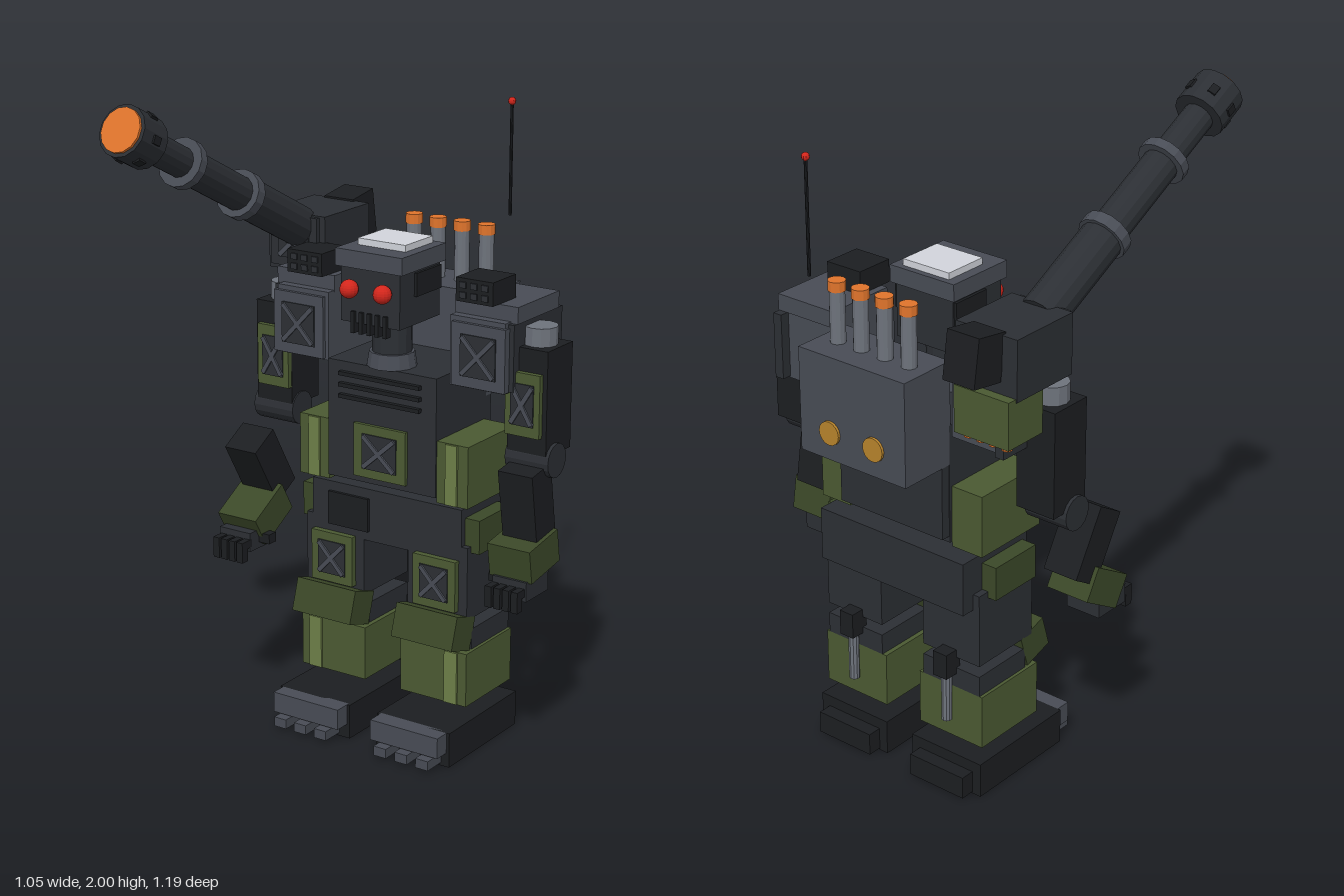
import * as THREE from 'three';

const mat = (color) => new THREE.MeshStandardMaterial({ color, flatShading: true });
const M = {
  black: mat(0x1c1e21), dark: mat(0x2c2f34), gray: mat(0x484c55), steel: mat(0x6e737c),
  olive: mat(0x4b5a32), moss: mat(0x3b4828), lime: mat(0x6d7f48), orange: mat(0xe0742c),
  amber: mat(0xb8842c), red: mat(0xd4261c), white: mat(0xd2d5dc),
};

function add(parent, name, geo, m, x, y, z) {
  const mesh = new THREE.Mesh(geo, m);
  mesh.name = name;
  mesh.position.set(x, y, z);
  parent.add(mesh);
  return mesh;
}

// Box given by its limits on each axis
function box(parent, name, m, x0, x1, y0, y1, z0, z1, rx = 0) {
  const geo = new THREE.BoxGeometry(Math.abs(x1 - x0), y1 - y0, z1 - z0);
  const mesh = add(parent, name, geo, m, (x0 + x1) / 2, (y0 + y1) / 2, (z0 + z1) / 2);
  mesh.rotation.x = rx;
  return mesh;
}

function cyl(parent, name, m, r0, r1, h, x, y, z, sides = 12) {
  return add(parent, name, new THREE.CylinderGeometry(r1, r0, h, sides), m, x, y, z);
}

// Front-facing plate with a crossed brace
function bracePlate(parent, name, frame, x, y, z, w, h) {
  const g = new THREE.Group();
  g.name = name;
  g.position.set(x, y, z);
  parent.add(g);
  const iw = w * 0.66, ih = h * 0.66;
  box(g, 'plate', frame, -w / 2, w / 2, -h / 2, h / 2, -0.012, 0.012);
  box(g, 'inset', M.dark, -iw / 2, iw / 2, -ih / 2, ih / 2, 0.008, 0.016);
  for (const s of [-1, 1]) {
    const bar = box(g, 'brace', M.gray, -0.007, 0.007, -Math.hypot(iw, ih) * 0.45, Math.hypot(iw, ih) * 0.45, 0.012, 0.022);
    bar.rotation.z = s * Math.atan2(iw, ih);
  }
}

function buildLeg(root, s) {
  const g = new THREE.Group();
  g.name = s > 0 ? 'leftLeg' : 'rightLeg';
  root.add(g);
  const X = (a) => s * a;
  // Foot with toe cap, toes and heel
  box(g, 'foot', M.black, X(0.05), X(0.31), 0, 0.11, -0.38, 0);
  box(g, 'toeCap', M.gray, X(0.06), X(0.30), 0.045, 0.11, -0.01, 0.05);
  box(g, 'heel', M.black, X(0.08), X(0.28), 0.005, 0.075, -0.425, -0.37);
  for (const x of [0.11, 0.185, 0.26]) box(g, 'toe', M.gray, X(x - 0.022), X(x + 0.022), 0.01, 0.04, -0.01, 0.073);
  // Shin and knee
  box(g, 'shin', M.olive, X(0.065), X(0.30), 0.155, 0.325, -0.36, -0.105);
  box(g, 'shinStripe', M.lime, X(0.225), X(0.27), 0.157, 0.323, -0.11, -0.098);
  box(g, 'kneeBlock', M.dark, X(0.08), X(0.29), 0.325, 0.39, -0.36, -0.15);
  box(g, 'kneePad', M.moss, X(0.075), X(0.29), 0.338, 0.442, -0.155, -0.05, -0.3);
  // Thigh with braced plate
  box(g, 'thigh', M.dark, X(0.08), X(0.29), 0.425, 0.655, -0.36, -0.12);
  bracePlate(g, 'thighPlate', M.olive, X(0.185), 0.53, -0.112, 0.15, 0.16);
  // Calf piston
  box(g, 'pistonHousing', M.black, X(0.155), X(0.205), 0.37, 0.45, -0.405, -0.345);
  cyl(g, 'pistonRod', M.steel, 0.016, 0.016, 0.16, X(0.18), 0.295, -0.375, 10);
}

function buildArm(root, s, tilt, forearm, cuff, hand) {
  const g = new THREE.Group();
  g.name = s > 0 ? 'leftArm' : 'rightArm';
  root.add(g);
  const X = (a) => s * a;
  cyl(g, 'shoulderCap', M.steel, 0.05, 0.05, 0.06, X(0.45), 1.305, -0.245);
  box(g, 'upperArm', M.black, X(0.385), X(0.515), 0.96, 1.28, -0.315, -0.175);
  bracePlate(g, 'armPlate', M.olive, X(0.443), 1.115, -0.17, 0.115, 0.19);
  cyl(g, 'elbow', M.dark, 0.052, 0.052, 0.145, X(0.453), 0.945, -0.222, 16).rotation.z = Math.PI / 2;
  // Forearm and cuff lean together; [z, y] centres
  box(g, 'forearm', M.black, X(0.395), X(0.51), forearm[1] - 0.11, forearm[1] + 0.11, forearm[0] - 0.053, forearm[0] + 0.053, tilt);
  box(g, 'cuff', M.moss, X(0.38), X(0.523), cuff[1] - 0.052, cuff[1] + 0.052, cuff[0] - 0.08, cuff[0] + 0.08, tilt);
  // Hand, [front z, y]
  const [z, y] = hand;
  box(g, 'palm', M.dark, X(0.395), X(0.51), y - 0.02, y + 0.04, z - 0.125, z);
  box(g, 'thumb', M.black, X(0.355), X(0.405), y, y + 0.03, z - 0.08, z - 0.045);
  for (let i = 0; i < 4; i++) {
    const x = 0.405 + i * 0.0295;
    box(g, 'finger', M.black, X(x - 0.011), X(x + 0.011), y - 0.005, y + 0.02, z - 0.01, z + 0.04);
    box(g, 'fingertip', M.black, X(x - 0.011), X(x + 0.011), y - 0.045, y, z + 0.012, z + 0.04);
  }
}

function buildShoulder(root, s) {
  const g = new THREE.Group();
  g.name = s > 0 ? 'leftShoulder' : 'rightShoulder';
  root.add(g);
  const X = (a) => s * a;
  box(g, 'shoulderBlock', M.gray, X(0.215), X(0.40), 1.145, 1.355, -0.385, -0.13);
  bracePlate(g, 'shoulderPlate', M.gray, X(0.317), 1.245, -0.13, 0.18, 0.19);
  box(g, 'shoulderSide', M.dark, X(0.39), X(0.42), 1.15, 1.35, -0.415, -0.145);
  box(g, 'shoulderLid', M.gray, X(0.213), X(0.423), 1.35, 1.40, -0.39, -0.16);
  // Small launcher with a grid of tubes
  box(g, 'launcher', M.black, X(0.235), X(0.36), 1.40, 1.47, -0.25, -0.125);
  for (let i = 0; i < 6; i++) {
    const x = 0.26 + (i % 3) * 0.037, y = 1.42 + Math.floor(i / 3) * 0.03;
    box(g, 'launchTube', M.dark, X(x - 0.011), X(x + 0.011), y - 0.009, y + 0.009, -0.13, -0.12);
  }
}

function buildTorso(root) {
  const g = new THREE.Group();
  g.name = 'torso';
  root.add(g);
  box(g, 'pelvis', M.dark, -0.268, 0.268, 0.605, 0.77, -0.405, -0.12);
  box(g, 'pelvisPlate', M.black, -0.205, -0.06, 0.635, 0.74, -0.13, -0.11);
  box(g, 'chest', M.dark, -0.192, 0.192, 0.80, 1.165, -0.37, -0.095);
  box(g, 'lowerBack', M.dark, -0.19, 0.19, 0.82, 1.06, -0.40, -0.36);
  for (const y of [1.06, 1.095, 1.13]) box(g, 'louver', M.black, -0.145, 0.14, y - 0.006, y + 0.006, -0.1, -0.08);
  bracePlate(g, 'chestPlate', M.olive, 0, 0.903, -0.095, 0.185, 0.165);
  for (const s of [-1, 1]) {
    box(g, 'hipPad', M.moss, s * 0.26, s * 0.318, 0.635, 0.74, -0.32, -0.14);
    box(g, 'sidePod', M.olive, s * 0.192, s * 0.30, 0.785, 0.975, -0.36, -0.1);
    box(g, 'podStripe', M.lime, s * 0.225, s * 0.265, 0.787, 0.973, -0.105, -0.093);
  }
}

function buildBackpack(root) {
  const g = new THREE.Group();
  g.name = 'backpack';
  root.add(g);
  box(g, 'pack', M.gray, -0.192, 0.192, 1.045, 1.36, -0.555, -0.365);
  for (const x of [-0.08, 0.08]) cyl(g, 'rearVent', M.amber, 0.036, 0.036, 0.012, x, 1.13, -0.557, 16).rotation.x = Math.PI / 2;
  for (let i = 0; i < 4; i++) {
    const x = -0.13 + i * 0.086;
    cyl(g, 'exhaustPipe', M.steel, 0.023, 0.023, 0.16, x, 1.44, -0.462);
    cyl(g, 'exhaustTip', M.orange, 0.026, 0.026, 0.03, x, 1.53, -0.462);
  }
  cyl(g, 'antenna', M.black, 0.005, 0.005, 0.34, 0.17, 1.735, -0.525, 8);
  add(g, 'antennaTip', new THREE.SphereGeometry(0.012, 10, 8), M.red, 0.17, 1.908, -0.525);
}

function buildHead(root) {
  const g = new THREE.Group();
  g.name = 'head';
  root.add(g);
  cyl(g, 'collar', M.gray, 0.075, 0.068, 0.045, 0, 1.187, -0.15, 14);
  cyl(g, 'neck', M.dark, 0.06, 0.06, 0.13, 0, 1.26, -0.15, 14);
  box(g, 'skull', M.dark, -0.103, 0.103, 1.31, 1.48, -0.245, -0.035);
  box(g, 'brow', M.gray, -0.116, 0.116, 1.475, 1.527, -0.257, -0.025);
  box(g, 'crownPlate', M.white, -0.083, 0.083, 1.527, 1.547, -0.238, -0.093);
  for (const s of [-1, 1]) {
    box(g, 'ear', M.black, s * 0.1, s * 0.112, 1.395, 1.465, -0.24, -0.11);
    add(g, 'eye', new THREE.SphereGeometry(0.028, 16, 12), M.red, s * 0.058, 1.415, -0.012);
  }
  for (let i = 0; i < 5; i++) box(g, 'tooth', M.black, -0.062 + i * 0.028, -0.05 + i * 0.028, 1.28, 1.345, -0.05, -0.025);
}

function buildCannon(root) {
  const g = new THREE.Group();
  g.name = 'cannon';
  root.add(g);
  // Mount, counterweight and rear thruster pod
  box(g, 'mount', M.dark, -0.512, -0.305, 1.37, 1.55, -0.475, -0.24);
  bracePlate(g, 'mountPlate', M.dark, -0.41, 1.465, -0.238, 0.17, 0.16);
  box(g, 'counterweight', M.black, -0.462, -0.355, 1.425, 1.565, -0.58, -0.47, 0.15);
  box(g, 'thrusterPod', M.olive, -0.508, -0.322, 1.24, 1.38, -0.505, -0.36);
  for (let i = 0; i < 4; i++) cyl(g, 'thruster', M.orange, 0.015, 0.015, 0.02, -0.48 + i * 0.043, 1.235, -0.475, 10);
  // Barrel built along local y, then pitched forward
  const b = new THREE.Group();
  b.name = 'barrel';
  b.position.set(-0.407, 1.657, 0.037);
  b.rotation.x = Math.PI / 2 - 0.48;
  g.add(b);
  const section = (name, m, r, t0, t1) => cyl(b, name, m, r, r, t1 - t0, 0, (t0 + t1) / 2, 0, 14);
  section('breech', M.dark, 0.063, -0.32, 0);
  section('rearRing', M.gray, 0.074, -0.018, 0.018);
  section('midBarrel', M.dark, 0.053, 0, 0.3);
  section('frontRing', M.gray, 0.074, 0.285, 0.315);
  section('foreBarrel', M.dark, 0.046, 0.3, 0.5);
  section('muzzle', M.dark, 0.077, 0.485, 0.595);
  section('muzzleGlow', M.orange, 0.066, 0.59, 0.603);
  for (let i = 0; i < 6; i++) {
    const a = (i + 0.5) * Math.PI / 3;
    const port = box(b, 'muzzlePort', M.black, -0.012, 0.012, 0.52, 0.55, -0.006, 0.006);
    port.position.x = Math.sin(a) * 0.075;
    port.position.z = Math.cos(a) * 0.075;
    port.rotation.y = a;
  }
}

export function createModel() {
  const root = new THREE.Group();
  root.name = 'robot';
  for (const s of [-1, 1]) {
    buildLeg(root, s);
    buildShoulder(root, s);
  }
  buildArm(root, 1, 0.16, [-0.18, 0.82], [-0.17, 0.665], [-0.09, 0.565]);
  buildArm(root, -1, 0.53, [-0.1, 0.785], [-0.07, 0.64], [0.035, 0.565]);
  buildTorso(root);
  buildBackpack(root);
  buildHead(root);
  buildCannon(root);
  return root;
}
